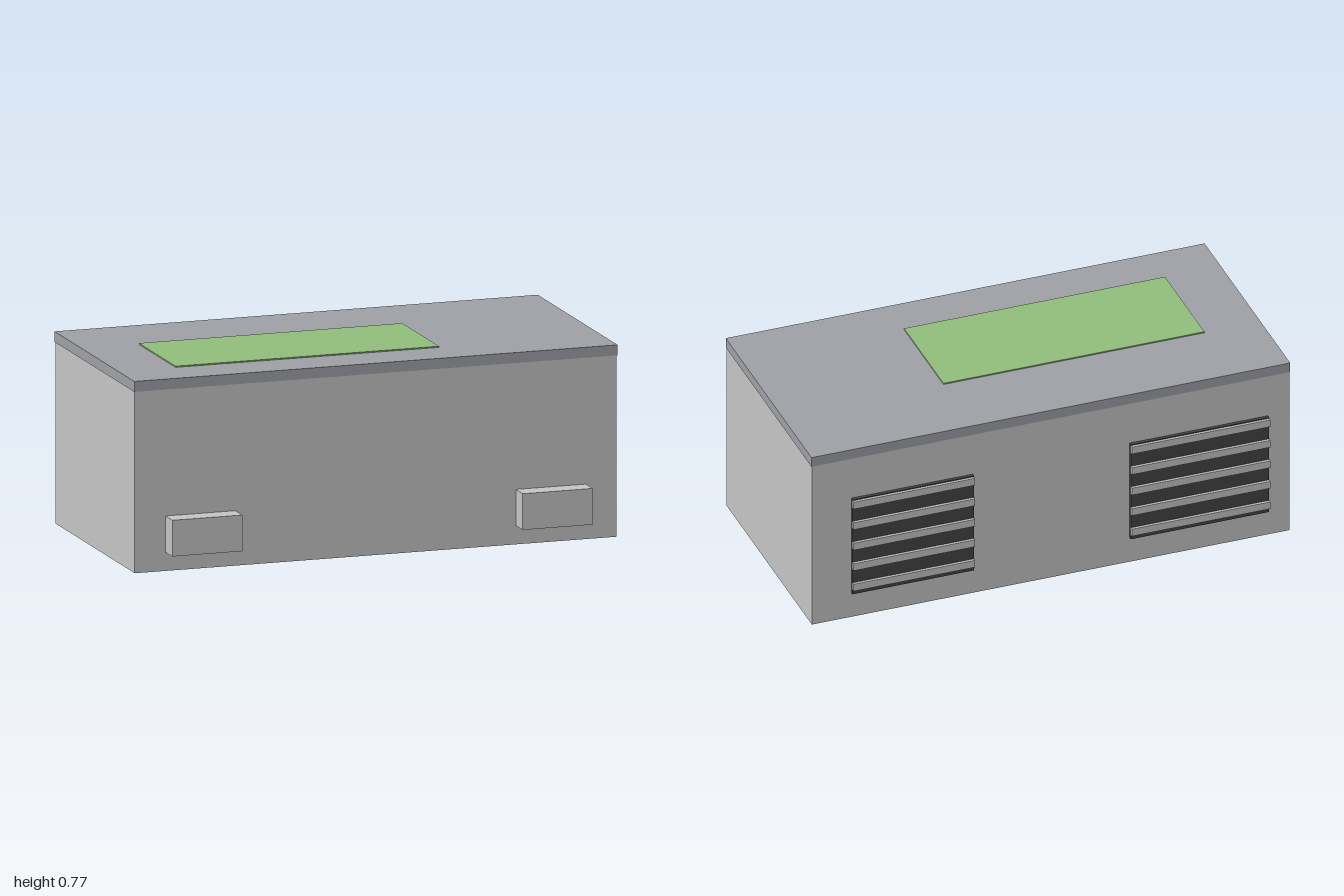
import * as THREE from 'three';

export function createModel() {
  const model = new THREE.Group();
  model.name = 'ventilatedCabinet';

  const mat = (name, color) => {
    const m = new THREE.MeshStandardMaterial({ color });
    m.name = name;
    return m;
  };
  const shell = mat('lightGrey', 0xc6c6c6);
  const roof = mat('slateGrey', 0x9fa1a6);
  const green = mat('leafGreen', 0x92be7c);
  const dark = mat('charcoal', 0x444449);

  // Box given by its extents along each axis
  const box = (name, material, [x0, x1], [y0, y1], [z0, z1], parent = model) => {
    const mesh = new THREE.Mesh(new THREE.BoxGeometry(x1 - x0, y1 - y0, z1 - z0), material);
    mesh.position.set((x0 + x1) / 2, (y0 + y1) / 2, (z0 + z1) / 2);
    mesh.name = name;
    parent.add(mesh);
  };

  // Main body with a slightly overhanging lid
  box('body', shell, [-0.997, 0.997], [0, 0.727], [-0.5, 0.444]);
  box('lid', roof, [-1, 1], [0.727, 0.769], [-0.503, 0.447]);

  // Off-centre panel on the lid
  box('roofPanel', green, [-0.765, 0.325], [0.768, 0.774], [-0.175, 0.262]);

  // Small blocks low on the front
  box('rightFrontBlock', shell, [-0.87, -0.58], [0.075, 0.22], [0.44, 0.526]);
  box('leftFrontBlock', shell, [0.58, 0.87], [0.075, 0.22], [0.44, 0.526]);

  // Louvred vents on the back
  const addVent = (name, xs) => {
    const vent = new THREE.Group();
    vent.name = name;
    box('ventBacking', dark, xs, [0.111, 0.545], [-0.514, -0.499], vent);
    for (let i = 0; i < 5; i++) {
      const y = 0.148 + i * 0.0942;
      box('ventSlat', shell, xs, [y - 0.016, y + 0.016], [-0.526, -0.513], vent);
    }
    model.add(vent);
  };
  addVent('rightVent', [-0.908, -0.33]);
  addVent('leftVent', [0.325, 0.832]);

  return model;
}
